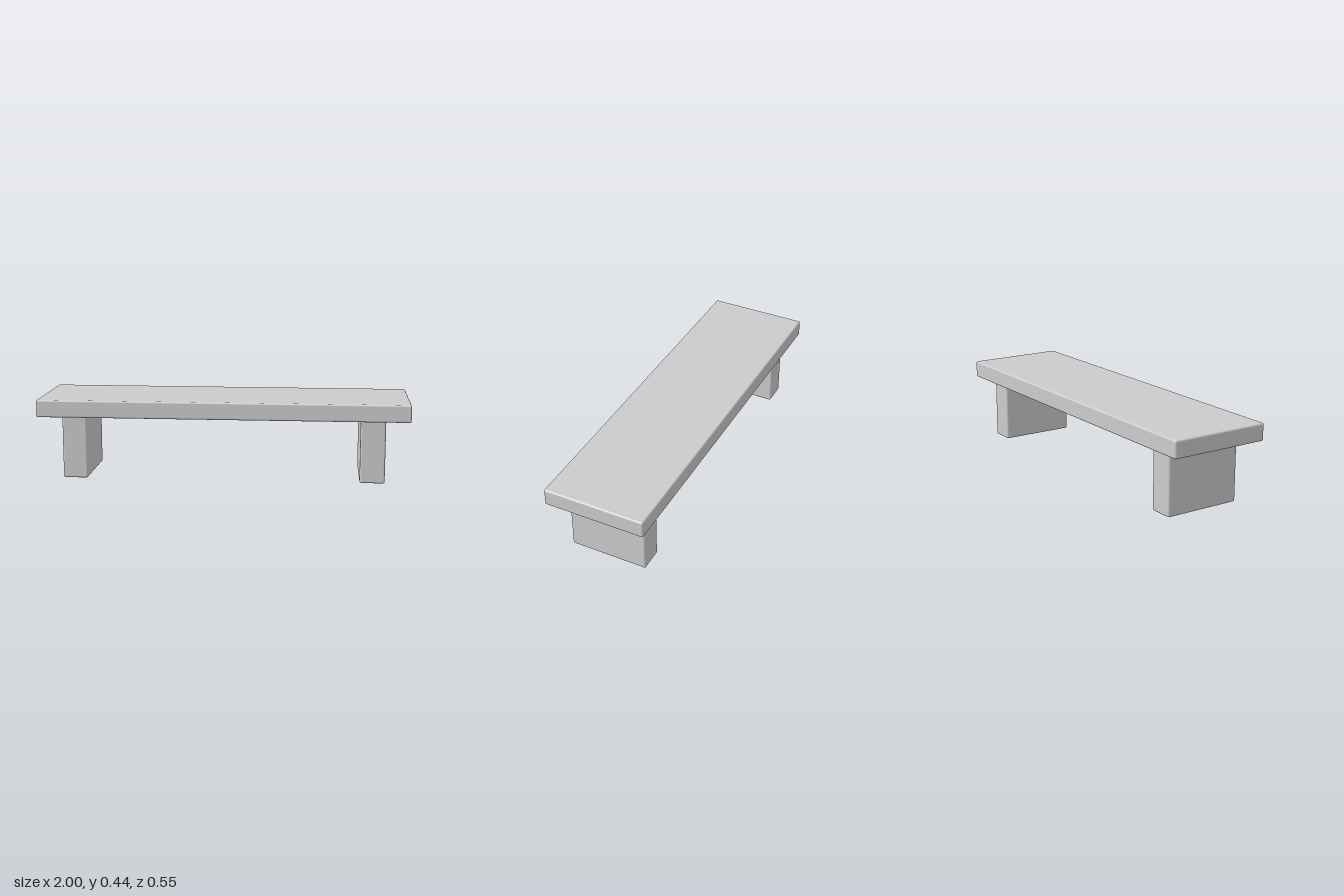
import * as THREE from 'three';
import { RoundedBoxGeometry } from 'three/addons/geometries/RoundedBoxGeometry.js';

const material = new THREE.MeshStandardMaterial({ color: 0xcccccc });

// Block with softly rounded edges, placed by its bottom centre
function block(name, width, height, depth, x, bottom) {
  const mesh = new THREE.Mesh(new RoundedBoxGeometry(width, height, depth, 4, 0.01), material);
  mesh.name = name;
  mesh.position.set(x, bottom + height / 2, 0);
  return mesh;
}

export function createModel() {
  const bench = new THREE.Group();
  bench.name = 'bench';

  const legHeight = 0.344;

  // Long slab seat
  bench.add(block('seat', 2, 0.094, 0.55, 0, legHeight));

  // Two block legs, mirrored across the middle
  for (const side of [1, -1]) {
    bench.add(block(side > 0 ? 'leftLeg' : 'rightLeg', 0.134, legHeight, 0.425, side * 0.805, 0));
  }

  return bench;
}
